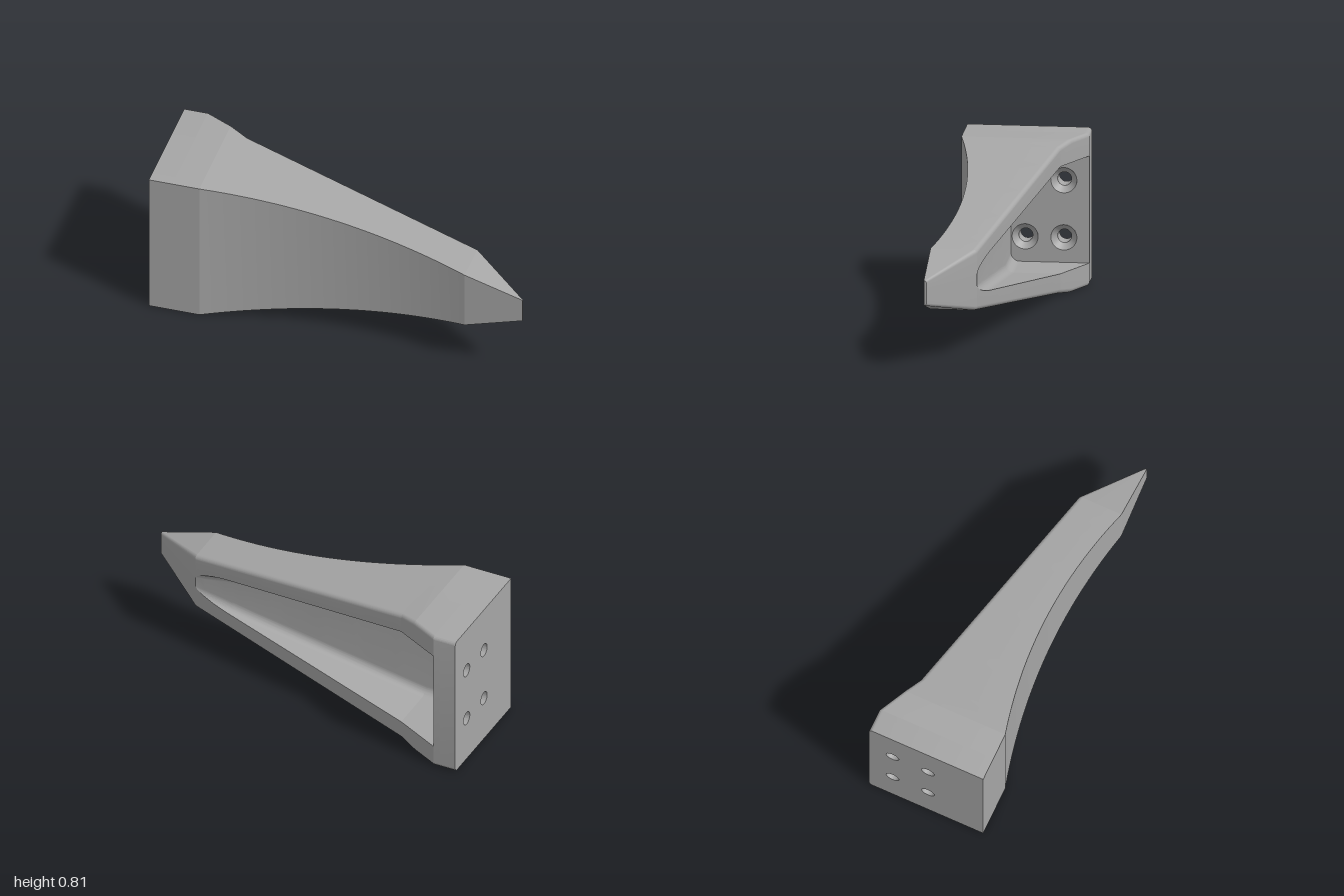
import * as THREE from 'three';
import { toCreasedNormals } from 'three/addons/utils/BufferGeometryUtils.js';

const MID = 0.404;        // half height, also the mirror plane
const FRONT = 0.322;      // foremost and rearmost z
const FLOOR = 0.083;      // z of the pocket floor
const PLATE_X = -0.875;   // inner face of the mounting plate
const EDGE_R = 0.022, POCKET_R = 0.045, SEG = 14;

// Piecewise linear lookup
function lerpKeys(keys, x) {
  for (let i = 1; i < keys.length; i++) {
    if (x <= keys[i][0]) {
      const [x0, v0] = keys[i - 1], [x1, v1] = keys[i];
      return v0 + (v1 - v0) * (x - x0) / (x1 - x0);
    }
  }
  return keys[keys.length - 1][1];
}
const backZ = x => lerpKeys([[-1, -FRONT], [PLATE_X, -FRONT], [-0.63, -0.2], [0.69, FLOOR], [1, 0.309]], x);
const halfH = x => lerpKeys([[-1, MID], [-0.73, MID], [0.69, 0.16], [1, 0.066]], x);
const pocketH = x => lerpKeys([[-1, 0.283], [-0.63, 0.283], [0.69, 0.07]], x);
const frontZ = x => {
  const u = Math.min(1, Math.abs(x + 0.02) / 0.71);
  return FRONT - 0.095 * (1 - u * u);
};

// Cross-section at x as [y, z]: front top, rounded back edge, pocket, then mirrored
function section(x) {
  const h = halfH(x), zf = frontZ(x), zb = backZ(x), p = pocketH(x);
  const r = Math.min(EDGE_R, (zf - zb) * 0.95);
  const half = [[h, zf]];
  for (let i = 0; i <= SEG; i++) {
    const t = i / SEG * Math.PI / 2;
    half.push([h - r + r * Math.cos(t), zb + r - r * Math.sin(t)]);
  }
  const s = THREE.MathUtils.clamp((zb - FLOOR + POCKET_R) / POCKET_R, 0, 1);
  const a0 = Math.asin(s);
  half.push([p - POCKET_R + POCKET_R * Math.cos(a0), zb]);
  for (let i = 0; i <= SEG; i++) {
    const t = a0 + (Math.PI / 2 - a0) * i / SEG;
    half.push([p - POCKET_R + POCKET_R * Math.cos(t), Math.max(zb, FLOOR - POCKET_R + POCKET_R * Math.sin(t))]);
  }
  return [...half, ...half.slice().reverse().map(([y, z]) => [-y, z])];
}

// Tapering arm with its open pocket, lofted along x
function armGeometry() {
  const xs = [PLATE_X, -0.73, -0.63, 0.48, 0.66, 0.68, 0.69, 1];
  for (let i = 1; i < 26; i++) xs.push(-0.73 + 1.42 * i / 26);
  xs.sort((a, b) => a - b);
  const pos = [], idx = [];
  const n = section(0).length;
  xs.forEach((x, i) => {
    section(x).forEach(([y, z]) => pos.push(x, y + MID, z));
    if (i === xs.length - 1) return;
    for (let j = 0; j < n; j++) {
      const a = i * n + j, b = i * n + (j + 1) % n;
      idx.push(a, a + n, b, a + n, b + n, b);
    }
  });
  // Tip cap
  const last = (xs.length - 1) * n, center = xs.length * n;
  pos.push(1, MID, (FRONT + backZ(1)) / 2);
  for (let j = 0; j < n; j++) idx.push(center, last + (j + 1) % n, last + j);
  const g = new THREE.BufferGeometry();
  g.setAttribute('position', new THREE.Float32BufferAttribute(pos, 3));
  g.setIndex(idx);
  return toCreasedNormals(g, 0.12);
}

const HOLES = [];
for (const z of [-0.19, 0.01]) for (const s of [-1, 1]) HOLES.push([z, MID + s * 0.151]);
const HOLE_R = 0.036, SINK_R = 0.067, SINK_D = 0.035;

// One layer of the mounting plate, drilled with holes of a given radius
function plateLayer(x0, x1, holeR) {
  const r = EDGE_R, top = 2 * MID;
  const s = new THREE.Shape();
  s.moveTo(-FRONT, 0);
  s.lineTo(FRONT - r, 0);
  s.absarc(FRONT - r, r, r, -Math.PI / 2, 0, false);
  s.lineTo(FRONT, top - r);
  s.absarc(FRONT - r, top - r, r, 0, Math.PI / 2, false);
  s.lineTo(-FRONT, top);
  s.closePath();
  for (const [z, y] of HOLES) {
    s.holes.push(new THREE.Path().absarc(-z, y, holeR, 0, Math.PI * 2, true));
  }
  const g = new THREE.ExtrudeGeometry(s, { depth: x1 - x0, bevelEnabled: false, curveSegments: 40 });
  g.rotateY(Math.PI / 2);
  g.translate(x0, 0, 0);
  return toCreasedNormals(g, 0.25);
}

export function createModel() {
  const group = new THREE.Group();
  group.name = 'bracket';
  const grey = new THREE.MeshStandardMaterial({ color: 0xa6a6a6 });
  grey.name = 'grey';
  const add = (name, geometry) => {
    const m = new THREE.Mesh(geometry, grey);
    m.name = name;
    group.add(m);
    return m;
  };

  add('arm', armGeometry());
  add('mountingPlateOuter', plateLayer(-1, PLATE_X - SINK_D, HOLE_R));
  add('mountingPlateInner', plateLayer(PLATE_X - SINK_D, PLATE_X, SINK_R));

  // Countersinks opening into the pocket
  const cone = new THREE.LatheGeometry(
    [new THREE.Vector2(SINK_R, SINK_D), new THREE.Vector2(HOLE_R, 0)], 40);
  cone.rotateZ(-Math.PI / 2);
  for (const [z, y] of HOLES) add('countersink', cone).position.set(PLATE_X - SINK_D, y, z);

  return group;
}
